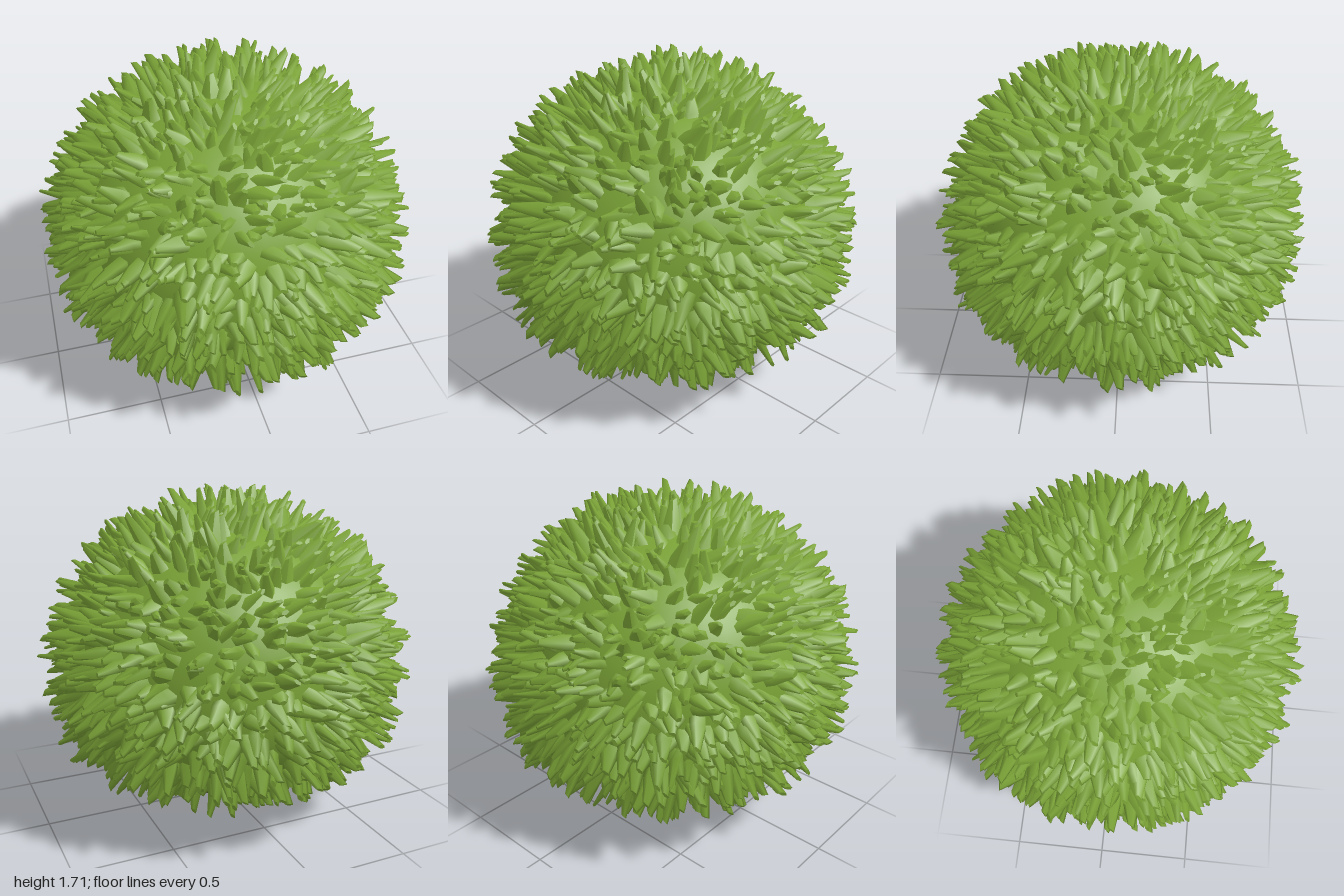
import * as THREE from 'three';
import { mergeGeometries } from 'three/addons/utils/BufferGeometryUtils.js';

const LEAF_COUNT = 1700;
const CENTRE_Y = 0.8;

// Small seeded random generator
function makeRandom(seed) {
  return () => {
    seed = (seed * 1664525 + 1013904223) >>> 0;
    return seed / 4294967296;
  };
}

// Point on the crown in direction d: domed above, fuller and flatter below,
// with a hollow around the trunk. s scales it from the centre outward.
function crownPoint(d, s) {
  const h = Math.hypot(d.x, d.z);
  const power = d.y < 0 ? 2.6 : 2.05;
  const t = s / Math.pow(Math.pow(h, power) + Math.pow(Math.abs(d.y), power), 1 / power);
  const p = new THREE.Vector3(d.x * t * 0.985, CENTRE_Y + d.y * t * (d.y < 0 ? 0.73 : 0.92), d.z * t * 0.985);
  if (d.y < 0) {
    const r = Math.hypot(p.x, p.z);
    p.y += 0.22 * (1 - THREE.MathUtils.smoothstep(r, 0.08, 0.34)) * Math.min(1, -d.y * 2);
  }
  return p;
}

// Chunky tapered leaf, one unit long along +y
function makeLeafTemplate() {
  const leaf = new THREE.CylinderGeometry(0.36, 1, 1, 5, 2);
  const pos = leaf.attributes.position;
  for (let i = 0; i < pos.count; i++) {
    const y = pos.getY(i) + 0.5;
    const swell = Math.abs(y - 0.5) < 0.01 ? 1.35 : 1;
    // A slanted tip and a gentle bend
    const slant = y > 0.9 ? pos.getX(i) * 0.12 : 0;
    pos.setXYZ(i, pos.getX(i) * swell, y + slant, pos.getZ(i) * swell * 0.6 + 0.35 * y * y);
  }
  leaf.computeVertexNormals();
  return leaf;
}

function makeLeaves() {
  const random = makeRandom(41);
  const spread = (a) => (random() - 0.5) * a;
  const template = makeLeafTemplate();
  const leaves = [];
  const up = new THREE.Vector3(0, 1, 0);
  for (let i = 0; i < LEAF_COUNT; i++) {
    // Even spiral over the crown with some scatter
    const y = 1 - (2 * (i + 0.5)) / LEAF_COUNT;
    const a = i * 2.399963;
    const h = Math.sqrt(1 - y * y);
    const d = new THREE.Vector3(h * Math.cos(a) + spread(0.05), y + spread(0.05), h * Math.sin(a) + spread(0.05)).normalize();
    const aim = d.clone().add(new THREE.Vector3(spread(0.2), spread(0.2), spread(0.2))).normalize();
    const base = crownPoint(d, 0.72);
    const tip = crownPoint(aim, 0.88 + 0.12 * random());
    const axis = tip.clone().sub(base);
    const length = axis.length();
    axis.normalize();
    const side = new THREE.Vector3().crossVectors(up, axis).normalize().applyAxisAngle(axis, spread(2.2));
    const face = new THREE.Vector3().crossVectors(side, axis);
    const width = 0.04 + 0.012 * random();
    const place = new THREE.Matrix4()
      .makeBasis(side.multiplyScalar(width), axis.multiplyScalar(length), face.multiplyScalar(width))
      .setPosition(base);
    const leaf = template.clone().applyMatrix4(place);
    // Soften the shading toward the overall crown
    const n = leaf.attributes.normal;
    const v = new THREE.Vector3();
    for (let k = 0; k < n.count; k++) {
      v.fromBufferAttribute(n, k).addScaledVector(d, 0.8).normalize();
      n.setXYZ(k, v.x, v.y, v.z);
    }
    leaves.push(leaf);
  }
  return mergeGeometries(leaves);
}

// Solid inner mass of the crown that closes the gaps between leaves
function makeCore() {
  const core = new THREE.SphereGeometry(1, 40, 28);
  const pos = core.attributes.position;
  const d = new THREE.Vector3();
  for (let i = 0; i < pos.count; i++) {
    const p = crownPoint(d.fromBufferAttribute(pos, i).normalize(), 0.8);
    pos.setXYZ(i, p.x, p.y, p.z);
  }
  core.computeVertexNormals();
  return core;
}

export function createModel() {
  const green = new THREE.MeshStandardMaterial({ color: 0x7aa236 });
  green.name = 'leafGreen';
  const brown = new THREE.MeshStandardMaterial({ color: 0x35291f, flatShading: true });
  brown.name = 'barkBrown';

  const model = new THREE.Group();
  model.name = 'bush';
  const add = (name, geometry, material) => {
    const mesh = new THREE.Mesh(geometry, material);
    mesh.name = name;
    model.add(mesh);
    return mesh;
  };

  add('crownCore', makeCore(), green);
  add('leaves', makeLeaves(), green);

  // Short faceted trunk reaching into the crown
  const trunk = add('trunk', new THREE.CylinderGeometry(0.09, 0.118, 0.7, 7, 2), brown);
  trunk.position.set(0.005, 0.35, 0);
  return model;
}
